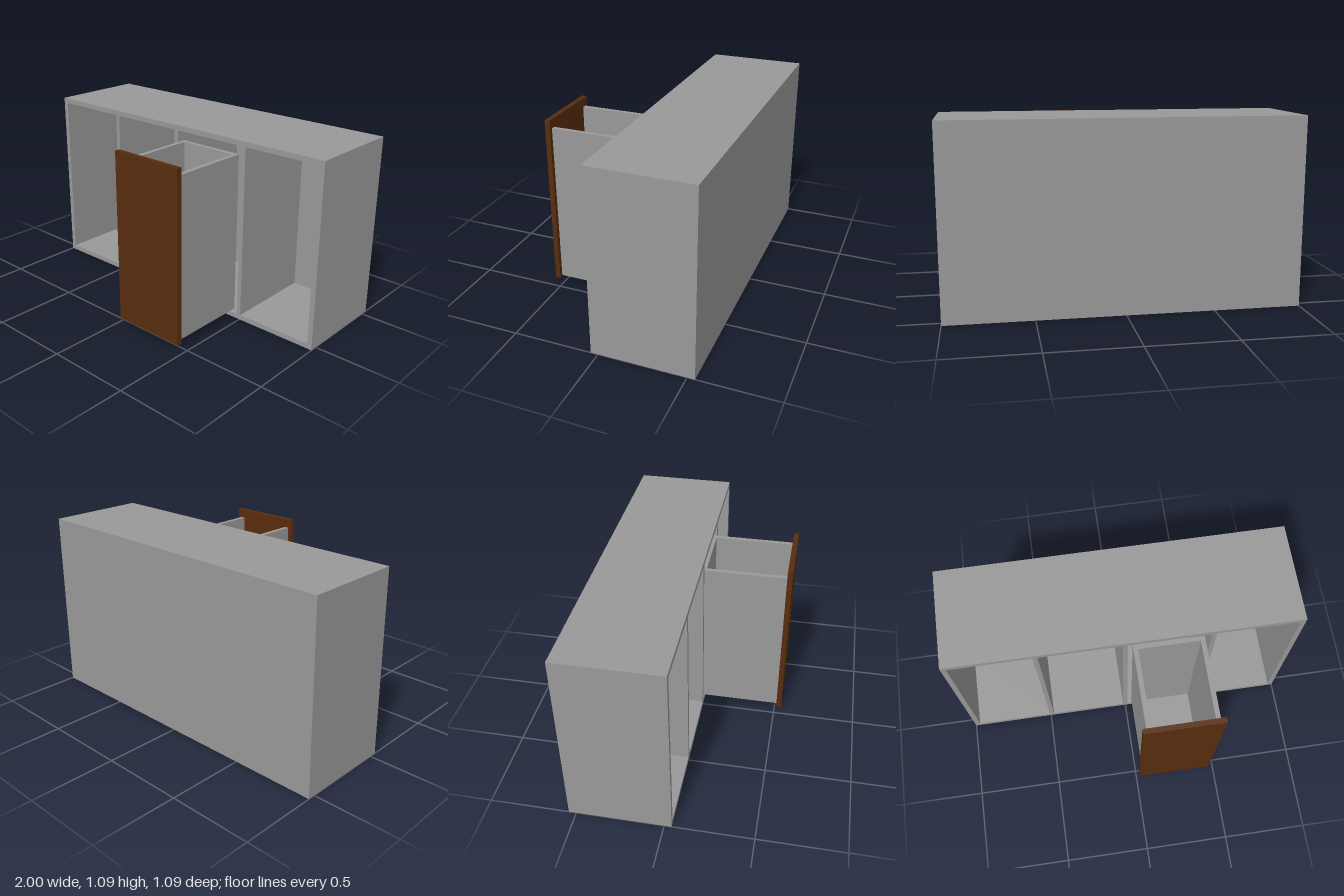
import * as THREE from 'three';

const grey = new THREE.MeshStandardMaterial({ color: 0x999999 });
grey.name = 'grey board';
const brown = new THREE.MeshStandardMaterial({ color: 0x592d0e });
brown.name = 'brown wood';

const T = 0.027; // board thickness

// Box given by its minimum and maximum corners
function board(name, material, [x0, y0, z0], [x1, y1, z1]) {
  const mesh = new THREE.Mesh(new THREE.BoxGeometry(x1 - x0, y1 - y0, z1 - z0), material);
  mesh.position.set((x0 + x1) / 2, (y0 + y1) / 2, (z0 + z1) / 2);
  mesh.name = name;
  return mesh;
}

function rectangle(target, x0, y0, x1, y1) {
  target.moveTo(x0, y0);
  target.lineTo(x1, y0);
  target.lineTo(x1, y1);
  target.lineTo(x0, y1);
  target.closePath();
  return target;
}

// Open-fronted case with four equal bays
function createCabinet() {
  const cabinet = new THREE.Group();
  cabinet.name = 'cabinet';
  const height = 1.085, back = -0.543, front = 0.042, rim = 0.03, bays = 4;
  const bayWidth = (2 - 2 * rim - (bays - 1) * T) / bays;

  const outline = rectangle(new THREE.Shape(), -1, 0, 1, height);
  for (let i = 0; i < bays; i++) {
    const x = -1 + rim + i * (bayWidth + T);
    outline.holes.push(rectangle(new THREE.Path(), x, rim, x + bayWidth, height - rim));
  }
  const geometry = new THREE.ExtrudeGeometry(outline, { depth: front - back - T, bevelEnabled: false });
  const carcass = new THREE.Mesh(geometry, grey);
  carcass.position.z = back + T;
  carcass.name = 'carcass';
  cabinet.add(carcass, board('backPanel', grey, [-1, 0, back], [1, height, back + T]));
  return cabinet;
}

// Tall drawer pulled out of the third bay
function createDrawer() {
  const drawer = new THREE.Group();
  drawer.name = 'drawer';
  const x0 = 0.043, x1 = 0.445, y0 = 0.044, y1 = 0.998, z0 = 0.021, z1 = 0.513;
  drawer.add(
    board('drawerRightSide', grey, [x0, y0, z0], [x0 + T, y1, z1]),
    board('drawerLeftSide', grey, [x1 - T, y0, z0], [x1, y1, z1]),
    board('drawerBack', grey, [x0 + T, y0, z0], [x1 - T, y1, z0 + T]),
    board('drawerBottom', grey, [x0 + T, y0, z0 + T], [x1 - T, y0 + T, z1]),
    board('drawerFront', brown, [0.02, 0.037, z1], [0.468, 1.05, 0.543]),
  );
  return drawer;
}

export function createModel() {
  const model = new THREE.Group();
  model.name = 'drawerCabinet';
  model.add(createCabinet(), createDrawer());
  return model;
}
